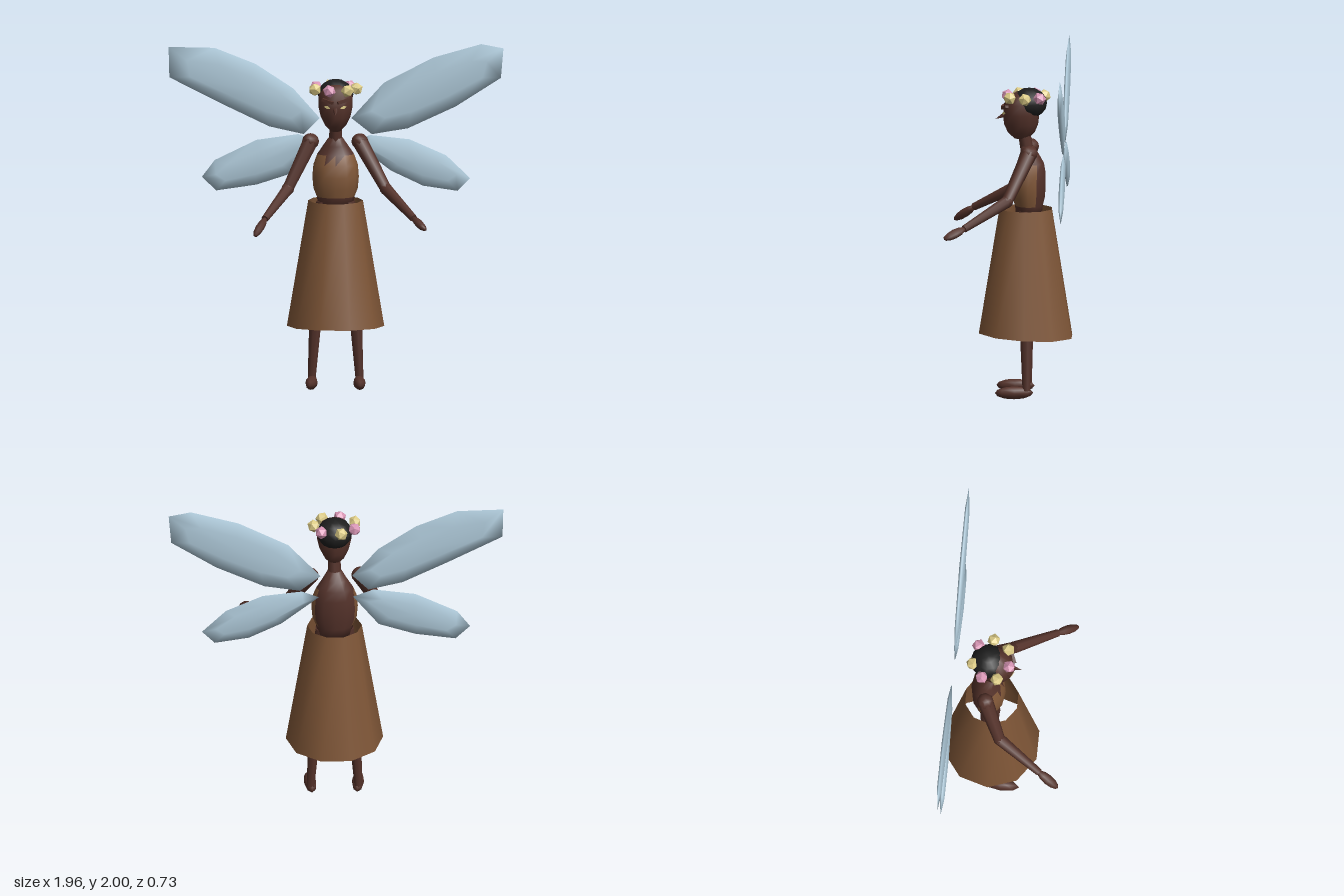
import * as THREE from 'three';

const mat = (name, color) => {
  const m = new THREE.MeshStandardMaterial({ color });
  m.name = name;
  return m;
};

export function createModel() {
  const root = new THREE.Group();
  root.name = 'wingedFigure';
  const skin = mat('darkSkin', 0x54322a);
  const cloth = mat('brownCloth', 0x7f5637);
  const hairMat = mat('blackHair', 0x1e1e1e);
  const wingMat = mat('paleBlueWing', 0xb0cbdb);
  const yellow = mat('yellowPetal', 0xdccb86);
  const pink = mat('pinkPetal', 0xd795b4);
  cloth.side = THREE.DoubleSide;

  const V = (a) => new THREE.Vector3(...a);
  const add = (name, geo, material, parent = root) => {
    const m = new THREE.Mesh(geo, material);
    m.name = name;
    parent.add(m);
    return m;
  };
  const ball = (name, p, s, material, parent, w = 10, h = 7) => {
    const m = add(name, new THREE.SphereGeometry(1, w, h), material, parent);
    m.position.set(...p);
    m.scale.set(...s);
    return m;
  };
  // tapered limb between two points
  const limb = (name, a, b, ra, rb, parent) => {
    const A = V(a), B = V(b), d = B.clone().sub(A);
    const m = add(name, new THREE.CylinderGeometry(rb, ra, d.length(), 8), skin, parent);
    m.position.copy(A).lerp(B, 0.5);
    m.quaternion.setFromUnitVectors(new THREE.Vector3(0, 1, 0), d.normalize());
    return m;
  };
  // closed loft of elliptical rings [y, rx, rz, centreZ]; pick() gives a material index per triangle
  const loft = (rings, n, pick = () => 0) => {
    const pos = [], faces = [[], []];
    for (const [y, rx, rz, cz] of rings)
      for (let i = 0; i < n; i++) {
        const t = (i / n) * Math.PI * 2;
        pos.push(Math.sin(t) * rx, y, cz + Math.cos(t) * rz);
      }
    const top = rings.length - 1;
    for (const r of [0, top]) pos.push(0, rings[r][0], rings[r][3]);
    const tri = (...t) => {
      const c = [0, 1, 2].map((k) => t.reduce((s, v) => s + pos[v * 3 + k], 0) / 3);
      faces[pick(...c)].push(...t);
    };
    for (let i = 0; i < n; i++) {
      const j = (i + 1) % n;
      for (let r = 0; r < top; r++) {
        const a = r * n + i, b = r * n + j;
        tri(a, b, b + n);
        tri(a, b + n, a + n);
      }
      tri(j, i, (top + 1) * n);
      tri(top * n + i, top * n + j, (top + 1) * n + 1);
    }
    const g = new THREE.BufferGeometry();
    g.setAttribute('position', new THREE.Float32BufferAttribute(pos, 3));
    g.setIndex([...faces[0], ...faces[1]]);
    g.addGroup(0, faces[0].length, 0);
    g.addGroup(faces[0].length, faces[1].length, 1);
    g.computeVertexNormals();
    return g;
  };

  // torso with a ragged bodice over the front and sides
  add('torsoAndBodice', loft([
    [1.07, 0.1, 0.075, -0.12], [1.13, 0.11, 0.082, -0.12], [1.18, 0.13, 0.096, -0.118],
    [1.25, 0.136, 0.1, -0.118], [1.32, 0.13, 0.096, -0.122], [1.38, 0.108, 0.078, -0.13],
    [1.43, 0.075, 0.055, -0.125], [1.48, 0.042, 0.04, -0.11],
  ], 12, (x, y, z) => (y > 1.145 && y < (Math.abs(x) < 0.05 ? 1.34 : 1.37) && z > -0.155 ? 1 : 0)),
  [skin, cloth]);
  limb('neck', [0, 1.45, -0.11], [0, 1.57, -0.09], 0.038, 0.036);

  // skirt: open ten-sided tube with a hem dipping at the back
  const skirt = new THREE.CylinderGeometry(0.16, 0.285, 0.745, 10, 1, true, Math.PI / 10);
  const sp = skirt.attributes.position;
  for (let i = 0; i < sp.count; i++)
    if (sp.getY(i) < 0) sp.setY(i, sp.getY(i) + sp.getZ(i) * 0.055);
  add('skirt', skirt, cloth).position.set(0, 0.738, -0.1);

  // head
  const head = new THREE.Group();
  head.name = 'head';
  root.add(head);
  add('face', loft([
    [1.525, 0.03, 0.04, -0.075], [1.56, 0.062, 0.078, -0.075], [1.61, 0.087, 0.1, -0.074],
    [1.67, 0.1, 0.106, -0.075], [1.73, 0.1, 0.104, -0.078], [1.775, 0.078, 0.085, -0.085], [1.8, 0.04, 0.045, -0.09],
  ], 12), skin, head);
  const nose = add('nose', new THREE.ConeGeometry(0.02, 0.075, 5), skin, head);
  nose.position.set(0, 1.655, 0.043);
  nose.rotation.x = Math.PI / 2 + 0.45;
  ball('hair', [0, 1.735, -0.122], [0.104, 0.09, 0.104], hairMat, head, 12, 8);
  for (const s of [-1, 1]) {
    const eye = add('eye', new THREE.CircleGeometry(0.02, 4), yellow, head);
    eye.position.set(s * 0.048, 1.68, 0.026);
    eye.rotation.set(0, s * 0.5, s * 0.2);
    eye.scale.set(1.2, 0.5, 1);
    const brow = add('brow', new THREE.BoxGeometry(0.07, 0.016, 0.02), skin, head);
    brow.position.set(s * 0.045, 1.715, 0.02);
    brow.rotation.set(0, s * 0.4, s * 0.25);
  }

  // flower crown: [x, z, material]
  [[-0.115, -0.15, pink], [0.08, -0.185, pink], [-0.035, 0.005, pink], [-0.12, -0.06, yellow],
    [0.07, -0.01, yellow], [0.122, -0.1, yellow], [-0.035, -0.21, yellow]].forEach(([x, z, m], i) => {
    const f = add('crownFlower', new THREE.IcosahedronGeometry(0.039, 0), m, head);
    f.position.set(x, 1.772, z);
    f.rotation.set(i, i * 1.7, 0);
  });

  // arms: shoulder, elbow, wrist, fingertip
  const arm = (name, sh, el, wr, tip) => {
    const g = new THREE.Group();
    g.name = name;
    root.add(g);
    ball('shoulder', sh, [0.05, 0.048, 0.05], skin, g, 8, 6);
    limb('upperArm', sh, el, 0.047, 0.034, g);
    ball('elbow', el, [0.037, 0.037, 0.037], skin, g, 8, 6);
    limb('forearm', el, wr, 0.036, 0.022, g);
    const h = ball('hand', V(wr).lerp(V(tip), 0.48).toArray(), [0.03, V(wr).distanceTo(V(tip)) * 0.54, 0.024], skin, g, 8, 6);
    h.quaternion.setFromUnitVectors(new THREE.Vector3(0, 1, 0), V(tip).sub(V(wr)).normalize());
  };
  arm('leftArm', [0.142, 1.455, -0.125], [0.295, 1.195, 0], [0.46, 1.06, 0.245], [0.53, 1.01, 0.36]);
  arm('rightArm', [-0.147, 1.455, -0.125], [-0.278, 1.19, -0.03], [-0.41, 1.05, 0.215], [-0.467, 0.965, 0.33]);

  // legs
  for (const s of [-1, 1]) {
    const g = new THREE.Group();
    g.name = s > 0 ? 'leftLeg' : 'rightLeg';
    root.add(g);
    limb('thigh', [s * 0.065, 1.1, -0.115], [s * 0.105, 0.62, -0.105], 0.05, 0.045, g);
    ball('knee', [s * 0.105, 0.62, -0.105], [0.046, 0.046, 0.046], skin, g, 8, 6);
    limb('shin', [s * 0.105, 0.62, -0.105], [s * 0.14, 0.05, -0.11], 0.046, 0.024, g);
    const foot = ball('foot', [s * 0.14, 0.038, -0.037], [0.036, 0.038, 0.112], skin, g, 8, 6);
    foot.rotation.y = s * 0.08;
  }

  // wings: thin lens over an outline, first point is the root
  const wing = (name, pts) => {
    let o = pts.map((p) => new THREE.Vector2(...p));
    const base = o[0];
    const c = o.reduce((a, p) => a.add(p), new THREE.Vector2()).divideScalar(o.length);
    const axis = c.clone().sub(base).normalize();
    if (THREE.ShapeUtils.isClockWise(o)) o = o.reverse();
    const inner = o.map((p) => {
      const d = p.clone().sub(c), along = d.dot(axis);
      const on = axis.clone().multiplyScalar(along);
      return c.clone().addScaledVector(on, 0.75).addScaledVector(d.sub(on), 0.5);
    });
    const n = o.length, z = -0.327, t = 0.013, pos = [], idx = [];
    o.forEach((p) => pos.push(p.x, p.y, z));
    for (const s of [1, -1]) inner.forEach((p) => pos.push(p.x, p.y, z + s * t));
    for (const s of [1, -1]) pos.push(c.x, c.y, z + s * 0.018);
    for (let i = 0; i < n; i++) {
      const j = (i + 1) % n;
      idx.push(i, j, n + j, i, n + j, n + i, n + i, n + j, 3 * n);
      idx.push(j, i, 2 * n + j, 2 * n + j, i, 2 * n + i, 2 * n + j, 2 * n + i, 3 * n + 1);
    }
    const g = new THREE.BufferGeometry();
    g.setAttribute('position', new THREE.Float32BufferAttribute(pos, 3));
    g.setIndex(idx);
    g.computeVertexNormals();
    add(name, g, wingMat);
  };
  wing('upperLeftWing', [[0.09, 1.56], [0.28, 1.77], [0.57, 1.92], [0.85, 2], [0.98, 1.975],
    [0.965, 1.8], [0.7, 1.63], [0.42, 1.5], [0.21, 1.465]]);
  wing('upperRightWing', [[-0.095, 1.56], [-0.25, 1.735], [-0.47, 1.88], [-0.71, 1.975], [-0.98, 1.98],
    [-0.975, 1.8], [-0.66, 1.64], [-0.39, 1.51], [-0.19, 1.465]]);
  wing('lowerLeftWing', [[0.1, 1.42], [0.2, 1.46], [0.43, 1.435], [0.645, 1.34], [0.785, 1.205],
    [0.71, 1.13], [0.51, 1.16], [0.32, 1.25]]);
  wing('lowerRightWing', [[-0.1, 1.42], [-0.22, 1.465], [-0.465, 1.43], [-0.71, 1.31], [-0.785, 1.21],
    [-0.7, 1.13], [-0.465, 1.165], [-0.25, 1.235]]);

  return root;
}
